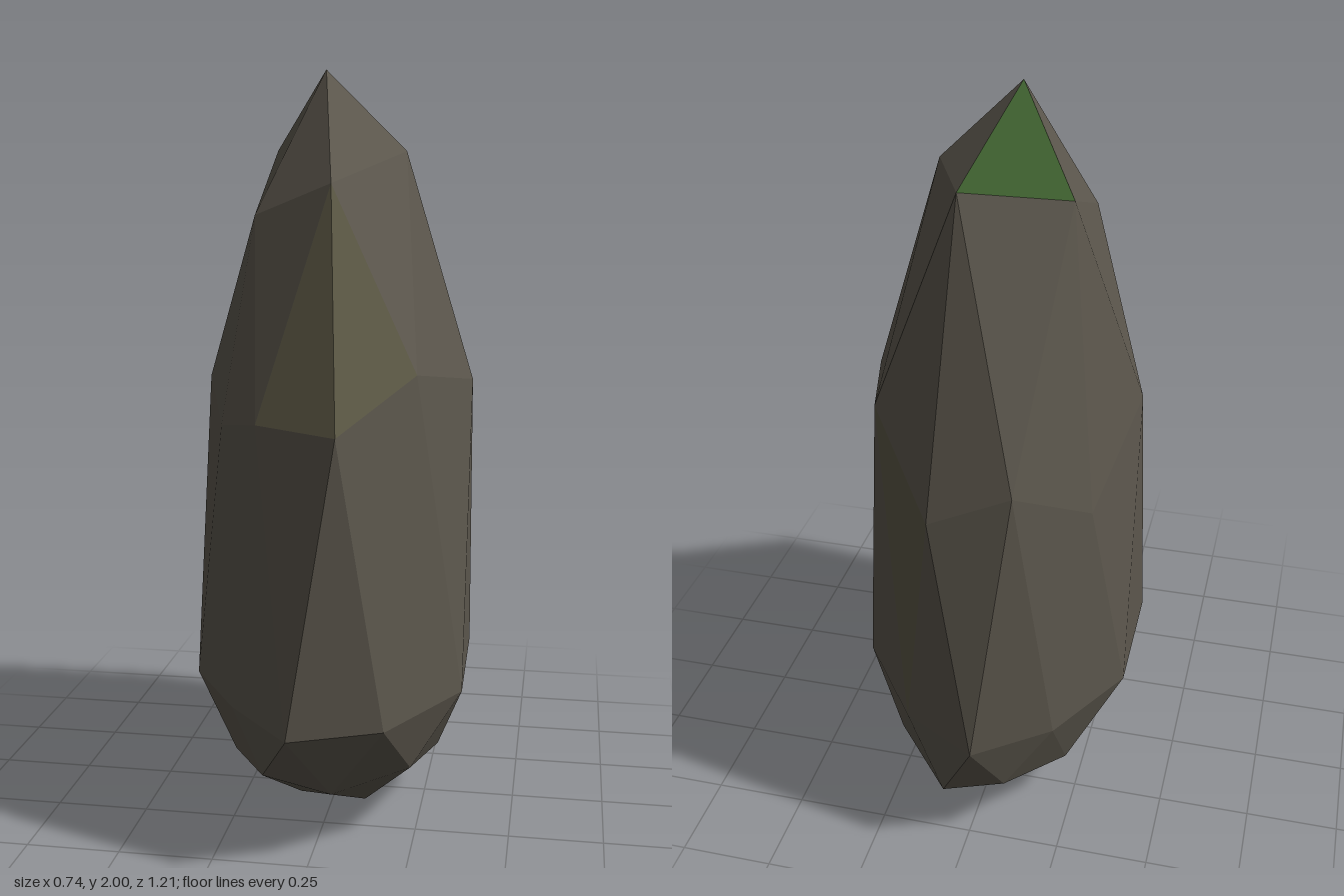
import * as THREE from 'three';

// Cross-sections of the boulder, each ring running from +x round towards +z
const top = [-0.035, 2, -0.02];
const crown = [[0.18, 1.79, -0.02], [0.03, 1.715, 0.3], [-0.19, 1.63, 0.17], [-0.21, 1.79, -0.24], [0.035, 1.84, -0.38]];
const shoulder = [
  [0.365, 1.19, -0.01], [0.25, 1.25, 0.33], [0.085, 1.135, 0.58], [-0.13, 1.14, 0.47], [-0.26, 1.1, 0.28],
  [-0.36, 1.18, -0.02], [-0.29, 1.0, -0.33], [-0.13, 1.14, -0.53], [0.08, 1.05, -0.55], [0.26, 1.26, -0.37],
];
const waist = [
  [0.365, 0.195], [0.195, 0.505], [-0.035, 0.605], [-0.215, 0.4], [-0.365, 0.16],
  [-0.37, -0.2], [-0.225, -0.46], [-0.035, -0.605], [0.17, -0.49], [0.355, -0.235],
].map(([x, z]) => [x, 0.38, z]);
const foot = [
  [0.285, 0.14, -0.01], [0.24, 0.2, 0.3], [0.05, 0.17, 0.43], [-0.13, 0.21, 0.43], [-0.24, 0.2, 0.25],
  [-0.33, 0.2, 0], [-0.23, 0.15, -0.3], [-0.1, 0.2, -0.5], [0.07, 0.15, -0.51], [0.24, 0.19, -0.33],
];
const base = [[0.1, 0.03, 0.15], [-0.08, 0.04, 0.15], [-0.16, 0.09, 0], [-0.08, 0.05, -0.3], [0.12, 0, -0.2]];
const bottom = [-0.035, 0.025, -0.02];

const at = (ring, i) => ring[(i + ring.length) % ring.length];

// Unshared corners keep every facet flat
function facetMesh(name, faces, material) {
  const g = new THREE.BufferGeometry();
  g.setAttribute('position', new THREE.Float32BufferAttribute(faces.flat(2), 3));
  g.computeVertexNormals();
  const mesh = new THREE.Mesh(g, material);
  mesh.name = name;
  return mesh;
}

export function createModel() {
  const stone = new THREE.MeshStandardMaterial({ name: 'stone', color: 0x5c574d, flatShading: true });
  const oliveStone = new THREE.MeshStandardMaterial({ name: 'oliveStone', color: 0x5c5845, flatShading: true });
  const moss = new THREE.MeshStandardMaterial({ name: 'moss', color: 0x3a5a2c, flatShading: true });
  const rock = [], olive = [], mossy = [];

  // Tip and underside: five-sided caps
  for (let i = 0; i < 5; i++) {
    const c = crown[i], cNext = at(crown, i + 1), k = 2 * i;
    (i === 3 ? mossy : rock).push([top, cNext, c]);
    rock.push([c, shoulder[k + 1], shoulder[k]]);
    rock.push([c, shoulder[k], at(shoulder, k - 1)]);
    rock.push([c, cNext, shoulder[k + 1]]);

    const b = base[i], bNext = at(base, i + 1);
    rock.push([bottom, b, bNext]);
    rock.push([b, foot[k], foot[k + 1]]);
    rock.push([b, foot[k + 1], at(foot, k + 2)]);
    rock.push([b, at(foot, k + 2), bNext]);
  }

  // Flanks: ten-sided bands above and below the waist
  for (let j = 0; j < 10; j++) {
    const w = waist[j], wNext = at(waist, j + 1);
    const s = shoulder[j], sNext = at(shoulder, j + 1);
    const f = foot[j], fNext = at(foot, j + 1);
    (j === 8 ? olive : rock).push([s, sNext, w]);
    rock.push([sNext, wNext, w], [w, wNext, fNext], [w, fNext, f]);
  }

  // Slightly olive facets on the front, moved out of the plain stone
  for (const k of [1, 3]) {
    const n = rock.findIndex((t) => t.includes(crown[1]) && t.includes(shoulder[k]) && t.includes(shoulder[2]));
    olive.push(...rock.splice(n, 1));
  }

  const model = new THREE.Group();
  model.name = 'boulder';
  model.add(
    facetMesh('rockBody', rock, stone),
    facetMesh('oliveFacets', olive, oliveStone),
    facetMesh('mossPatch', mossy, moss),
  );
  return model;
}
